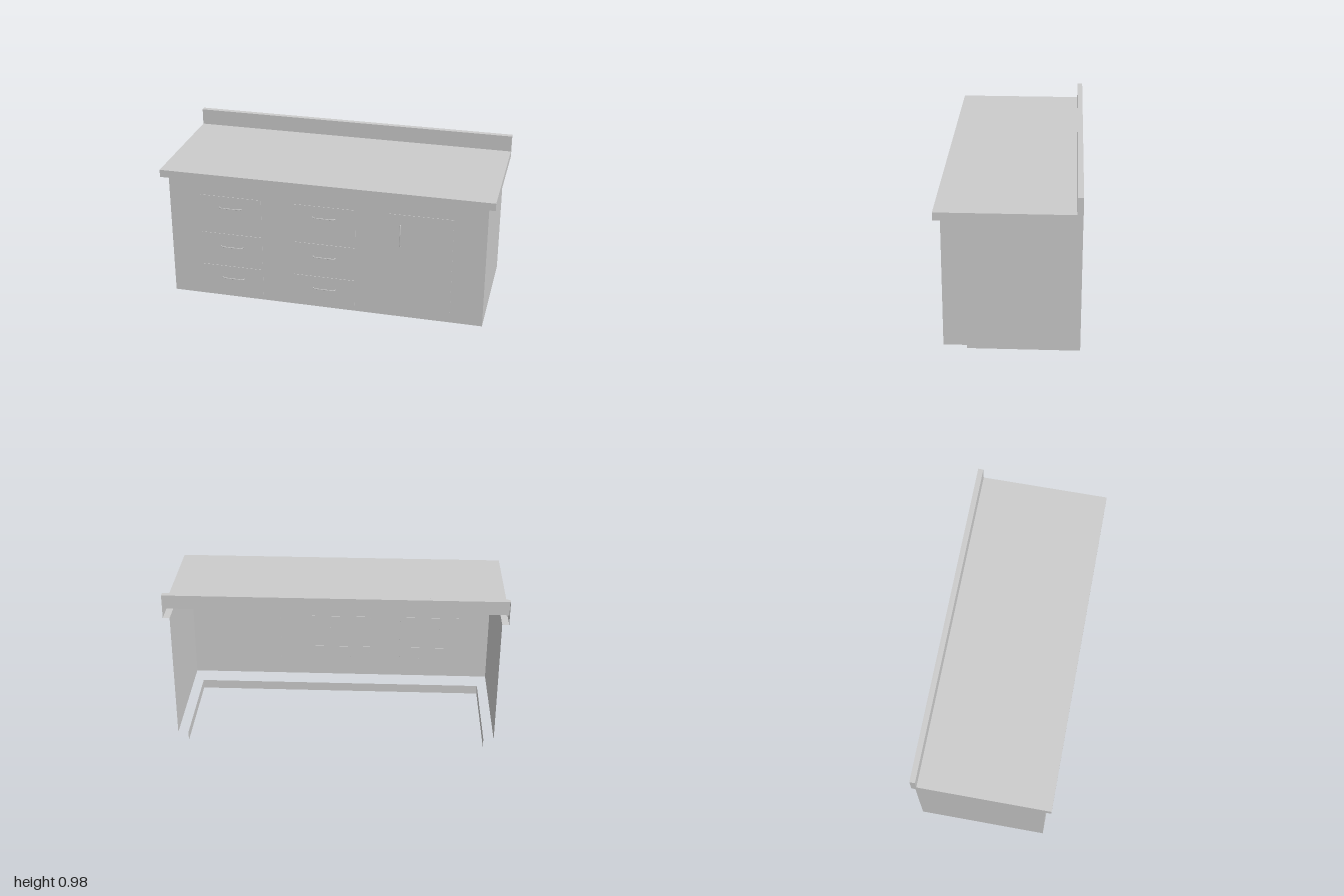
import * as THREE from 'three';

const material = new THREE.MeshStandardMaterial({ color: 0xcccccc, side: THREE.DoubleSide, flatShading: true });
const smooth = new THREE.MeshStandardMaterial({ color: 0xcccccc });

// Outline points [u, v] as a thin flat panel
const outline = (pts) => new THREE.ShapeGeometry(new THREE.Shape(pts.map(([u, v]) => new THREE.Vector2(u, v))));
const rect = (u0, u1, v0, v1) => outline([[u0, v0], [u1, v0], [u1, v1], [u0, v1]]);

// Panels facing +z (x, y), +x (z, y) and up (x, z)
const facingZ = (g, z) => g.translate(0, 0, z);
const facingX = (g, x) => g.rotateY(-Math.PI / 2).translate(x, 0, 0);
const facingY = (g, y) => g.rotateX(Math.PI / 2).translate(0, y, 0);

export function createModel() {
  const model = new THREE.Group();
  const add = (name, geometry, parent = model, mat = material) => {
    const mesh = new THREE.Mesh(geometry, mat);
    mesh.name = name;
    parent.add(mesh);
    return mesh;
  };

  const back = -0.402, front = 0.365, edge = 0.402, splash = -0.37;
  const bottom = 0.057, under = 0.837, top = 0.883, rim = 0.982;
  const side = 0.96, kick = 0.898, kickFront = 0.238;

  // Cabinet shell, open at the back and bottom
  add('cabinetFront', facingZ(rect(-side, side, bottom, under), front));
  // Recessed plinth
  add('plinthFront', facingZ(rect(-kick, kick, 0, bottom), kickFront));

  // Worktop with upstand, hollow and open at the back
  add('worktop', facingY(rect(-1, 1, splash, edge), top));
  add('worktopFrontEdge', facingZ(rect(-1, 1, under, top), edge));
  add('worktopFrontUnderside', facingY(rect(-1, 1, front, edge), under));
  add('upstandFront', facingZ(rect(-1, 1, top, rim), splash));
  add('upstandTop', facingY(rect(-1, 1, back, splash), rim));

  // Mirrored side parts
  for (const s of [-1, 1]) {
    const label = s > 0 ? 'left' : 'right';
    add(label + 'CabinetSide', facingX(rect(back, front, bottom, under), s * side));
    add(label + 'PlinthSide', facingX(rect(back, kickFront, 0, bottom), s * kick));
    add(label + 'WorktopEnd', facingX(outline([
      [back, under], [edge, under], [edge, top], [splash, top], [splash, rim], [back, rim],
    ]), s));
    const [x0, x1] = s > 0 ? [side, 1] : [-1, -side];
    add(label + 'WorktopUnderside', facingY(rect(x0, x1, back, front), under));
  }

  // Bowed pull handle, lying along x
  const curve = new THREE.CatmullRomCurve3([
    [-0.067, -0.006], [-0.067, 0.01], [-0.058, 0.0155], [-0.03, 0.0175],
    [0.03, 0.0175], [0.058, 0.0155], [0.067, 0.01], [0.067, -0.006],
  ].map(([x, z]) => new THREE.Vector3(x, 0, z)));
  const handleGeometry = new THREE.TubeGeometry(curve, 40, 0.0028, 8);

  const addFront = (name, x0, x1, y0, y1, hx, hy, upright) => {
    const group = new THREE.Group();
    group.name = name;
    model.add(group);
    // Panel barely proud of the cabinet front on both faces
    const panel = new THREE.BoxGeometry(x1 - x0, y1 - y0, 0.005);
    add(name + 'Panel', panel.translate((x0 + x1) / 2, (y0 + y1) / 2, front), group);
    const handle = add(name + 'Handle', handleGeometry, group, smooth);
    handle.position.set(hx, hy, front);
    if (upright) handle.rotation.z = Math.PI / 2;
  };

  // Two columns of three drawers
  const rows = [[0.56, 0.732, 0.662], [0.308, 0.484, 0.402], [0.093, 0.264, 0.187]];
  for (const [column, cx] of [['right', -0.578], ['middle', -0.003]]) {
    rows.forEach(([y0, y1, hy], i) =>
      addFront(`${column}Drawer${i + 1}`, cx - 0.19, cx + 0.19, y0, y1, cx, hy, false));
  }
  // Cupboard door
  addFront('door', 0.39, 0.765, 0.093, 0.735, 0.455, 0.6, true);

  return model;
}
